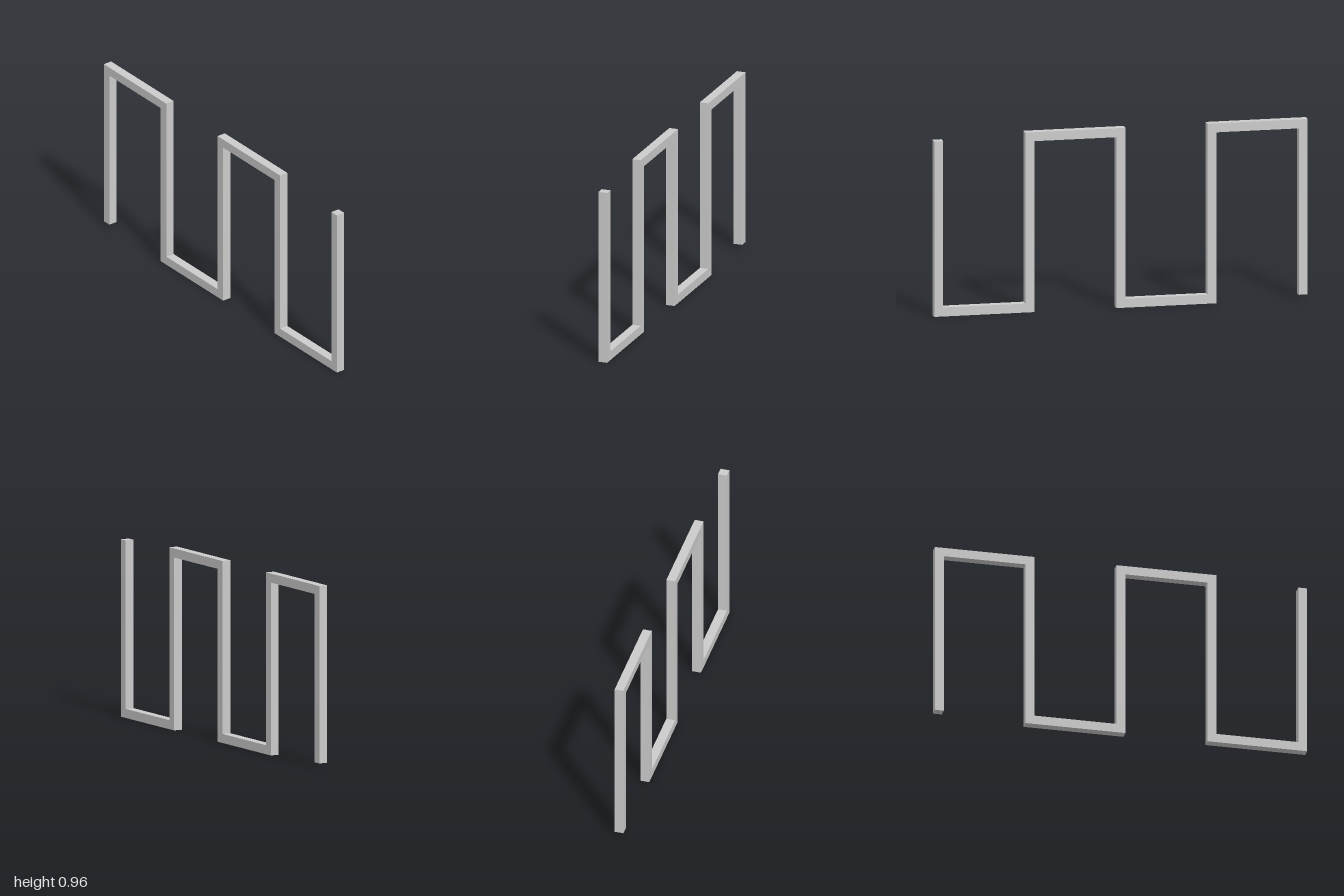
import * as THREE from 'three';

const BAR = 0.048; // square section of the bar
const HALF = BAR / 2;
const PITCH = 0.488; // spacing between upright centrelines
const LOW = HALF;
const HIGH = 0.963 - HALF;
const UPRIGHTS = 5;

// Centreline of the square wave: up, across, down, across ...
function wavePath() {
  const path = [];
  for (let i = 0; i < UPRIGHTS; i++) {
    const x = (i - (UPRIGHTS - 1) / 2) * PITCH;
    const ends = i % 2 === 0 ? [LOW, HIGH] : [HIGH, LOW];
    ends.forEach((y) => path.push(new THREE.Vector2(x, y)));
  }
  return path;
}

// Offsets the centreline to one side, with mitred right-angle corners
function offsetPath(path, distance) {
  const normal = (a, b) => {
    const d = b.clone().sub(a).normalize();
    return new THREE.Vector2(-d.y, d.x);
  };
  return path.map((p, i) => {
    const shift = new THREE.Vector2();
    if (i > 0) shift.add(normal(path[i - 1], p));
    if (i < path.length - 1) shift.add(normal(p, path[i + 1]));
    return p.clone().addScaledVector(shift, distance);
  });
}

export function createModel() {
  const group = new THREE.Group();
  group.name = 'squareWave';

  // One continuous bar, extruded from its front outline
  const path = wavePath();
  const outline = [...offsetPath(path, -HALF), ...offsetPath(path, HALF).reverse()];
  const geometry = new THREE.ExtrudeGeometry(new THREE.Shape(outline), {
    depth: BAR,
    bevelEnabled: false,
  });
  geometry.translate(0, 0, -HALF);

  const bar = new THREE.Mesh(geometry, new THREE.MeshStandardMaterial({ color: 0xcccccc }));
  bar.name = 'waveBar';
  group.add(bar);
  return group;
}
